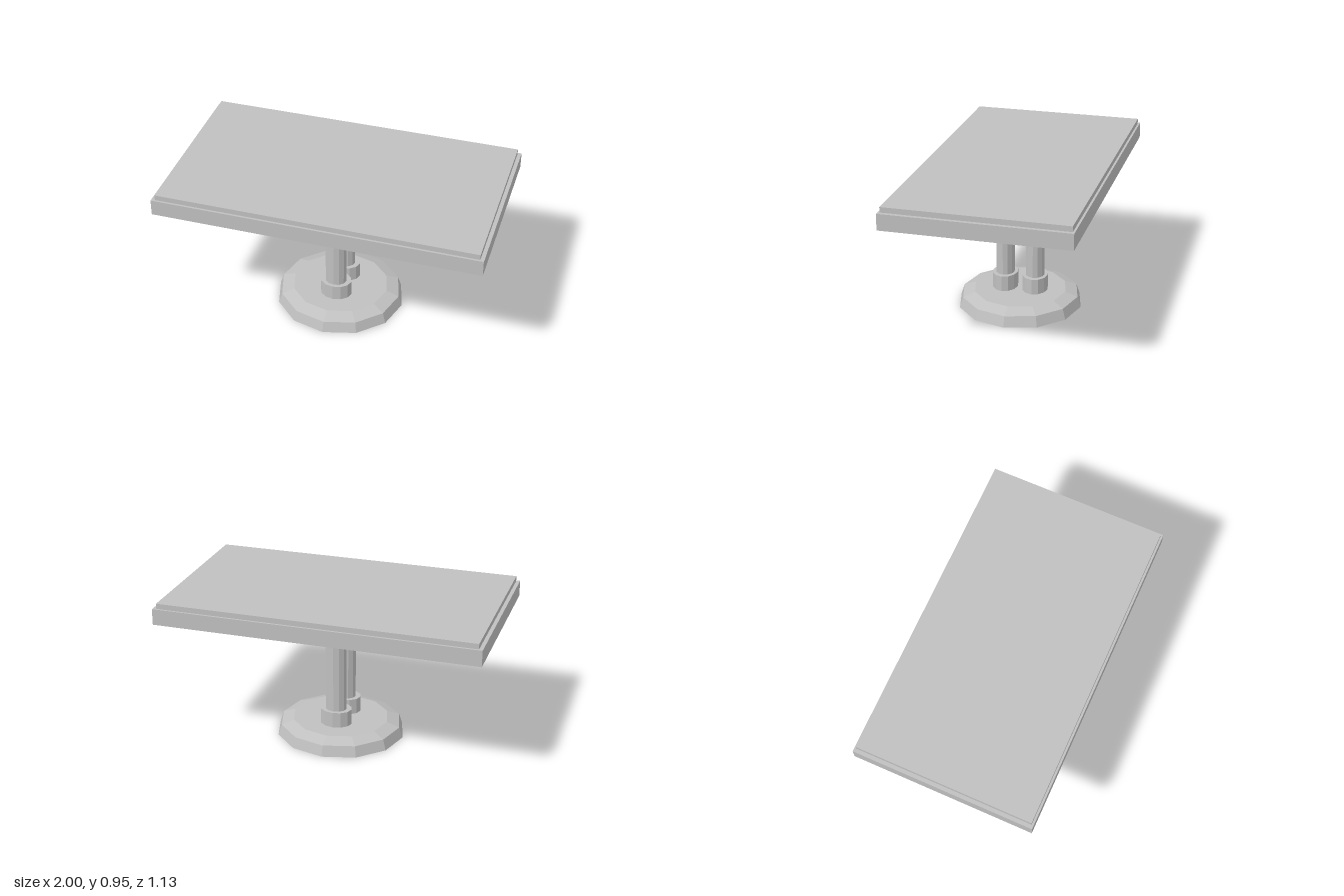
import * as THREE from 'three';

export function createModel() {
  const model = new THREE.Group();
  model.name = 'pedestalTable';
  const grey = new THREE.MeshStandardMaterial({ color: 0xc0c0c0, flatShading: true });
  grey.name = 'light grey';
  const SIDES = 12;

  function add(name, geometry, x, y, z) {
    const mesh = new THREE.Mesh(geometry, grey);
    mesh.name = name;
    mesh.position.set(x, y, z);
    model.add(mesh);
    return mesh;
  }

  // Faceted, slightly oval column standing between two heights
  function column(name, rx, rz, y0, y1, z) {
    const geometry = new THREE.CylinderGeometry(1, 1, y1 - y0, SIDES);
    geometry.scale(rx, 1, rz);
    add(name, geometry, 0, (y0 + y1) / 2, z);
  }

  // Table top: thick frame with a slightly smaller slab on it
  add('tableFrame', new THREE.BoxGeometry(2, 0.1, 1.126), 0, 0.87, 0);
  add('tableSlab', new THREE.BoxGeometry(1.954, 0.033, 1.1), 0, 0.9365, 0);

  // Foot: flared skirt with a bevelled top
  const profile = [[0, 0], [0.407, 0], [0.385, 0.067], [0.305, 0.096], [0, 0.096]]
    .map(([r, y]) => new THREE.Vector2(r, y));
  const foot = new THREE.LatheGeometry(profile, SIDES);
  foot.scale(1, 1, 0.965);
  add('foot', foot, 0, 0, 0);

  // Twin posts, each rising from a collar
  for (const [side, z] of [['front', 0.097], ['back', -0.097]]) {
    column(side + 'Collar', 0.1, 0.08, 0.096, 0.196, z);
    column(side + 'Post', 0.068, 0.059, 0.096, 0.82, z);
  }

  return model;
}
